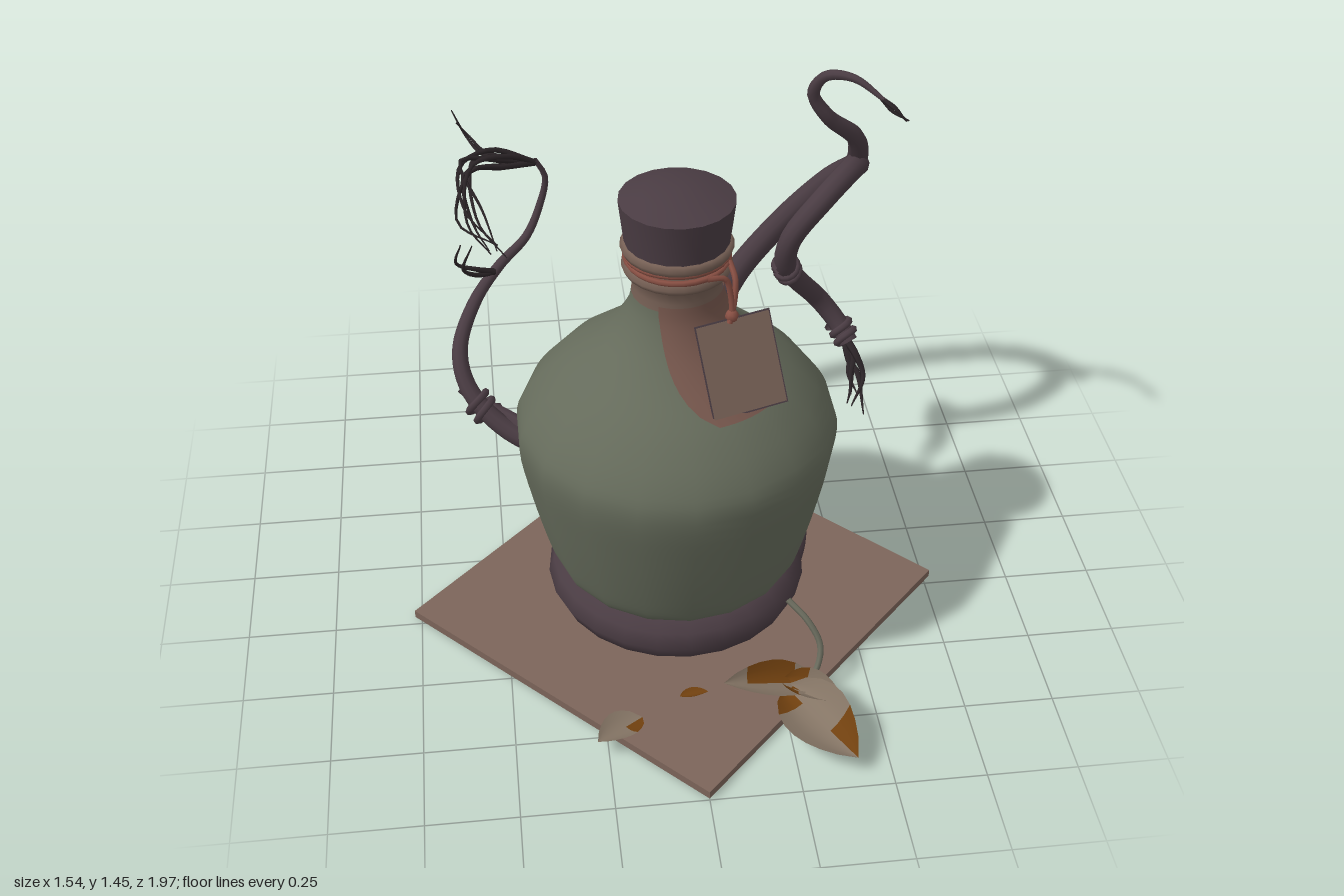
import * as THREE from 'three';
import { toCreasedNormals } from 'three/addons/utils/BufferGeometryUtils.js';

const mat = (name, color, side = THREE.FrontSide) => {
  const m = new THREE.MeshStandardMaterial({ color, side });
  m.name = name;
  return m;
};
const V = (p) => new THREE.Vector3(...p);
const path = (pts) => new THREE.CatmullRomCurve3(pts.map(V));

export function createModel() {
  const root = new THREE.Group();
  const M = {
    glass: mat('green glass', 0x656b5b),
    neck: mat('brown neck', 0x755f54),
    patch: mat('red brown stain', 0x75564c, THREE.DoubleSide),
    vine: mat('dark vine', 0x4a3c43, THREE.DoubleSide),
    hair: mat('root hair', 0x2c2528, THREE.DoubleSide),
    plate: mat('brown board', 0x7c655a),
    string: mat('red string', 0x884f43),
    leaf: mat('dry leaf', 0x857565, THREE.DoubleSide),
    rust: mat('rust leaf', 0x70400f, THREE.DoubleSide),
    stem: mat('leaf stem', 0x6b6c5e),
  };
  const add = (name, geo, material, parent = root) => {
    const mesh = new THREE.Mesh(geo, material);
    mesh.name = name;
    parent.add(mesh);
    return mesh;
  };

  // Tube whose radius follows r(t) along the curve
  const taperTube = (curve, r, seg = 40, sides = 8) => {
    const g = new THREE.TubeGeometry(curve, seg, 1, sides);
    const pos = g.attributes.position, v = new THREE.Vector3();
    for (let i = 0; i <= seg; i++) {
      const c = curve.getPointAt(i / seg), k = r(i / seg);
      for (let j = 0; j <= sides; j++) {
        const n = i * (sides + 1) + j;
        v.fromBufferAttribute(pos, n).sub(c).multiplyScalar(k).add(c);
        pos.setXYZ(n, v.x, v.y, v.z);
      }
    }
    return g;
  };
  // Strand coiling round a curve between t0 and t1
  const coil = (curve, t0, t1, turns, dist) => {
    const pts = [], n = Math.max(12, Math.round(turns * 10)), up = new THREE.Vector3(0.3, 0.5, 0.8);
    for (let i = 0; i <= n; i++) {
      const t = t0 + (t1 - t0) * i / n, a = i / n * turns * Math.PI * 2;
      const T = curve.getTangentAt(t);
      const N = new THREE.Vector3().crossVectors(T, up).normalize();
      const B = new THREE.Vector3().crossVectors(T, N);
      pts.push(curve.getPointAt(t).addScaledVector(N, Math.cos(a) * dist).addScaledVector(B, Math.sin(a) * dist));
    }
    return new THREE.CatmullRomCurve3(pts);
  };

  // Ground board: a square on its corner, one side slightly bent
  const shape = new THREE.Shape([[0, -0.995], [0.77, -0.22], [0.2, 0.35], [-0.03, 0.5], [-0.77, -0.22]]
    .map((p) => new THREE.Vector2(...p)));
  const board = new THREE.ExtrudeGeometry(shape, { depth: 0.024, bevelEnabled: false });
  board.rotateX(-Math.PI / 2);
  add('groundBoard', board, M.plate);

  // Bottle, all turned round one axis
  const bottle = new THREE.Group();
  bottle.name = 'bottle';
  bottle.position.z = 0.23;
  root.add(bottle);
  const vec2 = (a) => a.map((p) => new THREE.Vector2(...p));
  const turn = (name, pts, m, seg = 18) => add(name, new THREE.LatheGeometry(vec2(pts), seg), m, bottle);
  const profile = new THREE.SplineCurve(vec2([[0.31, 0.215], [0.345, 0.245], [0.372, 0.32], [0.415, 0.5], [0.443, 0.67],
    [0.415, 0.76], [0.335, 0.855], [0.23, 0.94], [0.165, 1.01], [0.128, 1.08], [0.117, 1.14]])).getPoints(40);
  add('glassBody', new THREE.LatheGeometry(profile, 18), M.glass, bottle);
  turn('neck', [[0.121, 1.115], [0.118, 1.14], [0.118, 1.18], [0.14, 1.185], [0.146, 1.198], [0.137, 1.212], [0.126, 1.218],
    [0.126, 1.235], [0.143, 1.242], [0.149, 1.256], [0.142, 1.27], [0.11, 1.278]], M.neck, 24);
  const cork = new THREE.LatheGeometry(vec2([[0, 1.265], [0.138, 1.27], [0.152, 1.39], [0.09, 1.41], [0, 1.42]]), 20);
  add('cork', toCreasedNormals(cork, 0.6), M.vine, bottle);

  // Stain running down the shoulder, narrowing to its lower end
  const stain = new THREE.LatheGeometry(profile.filter((p) => p.y > 0.87 && p.y < 1.135)
    .map((p) => new THREE.Vector2(p.x + 0.005, p.y + 0.003)), 16, -1, 2);
  const sp = stain.attributes.position;
  for (let i = 0; i < sp.count; i++) {
    const x = sp.getX(i), y = sp.getY(i), z = sp.getZ(i), r = Math.hypot(x, z);
    const w = 0.2 + 0.95 * Math.sqrt(Math.min(1, Math.max(0, (y - 0.87) / 0.24)));
    const a = 0.64 + Math.atan2(x, z) * w;
    sp.setXYZ(i, r * Math.sin(a), y, r * Math.cos(a));
  }
  stain.computeVertexNormals();
  add('shoulderStain', stain, M.patch, bottle);

  // Thick vine base under the bottle
  turn('vineBase', [[0, 0.035], [0.2, 0.042], [0.3, 0.065], [0.35, 0.11], [0.37, 0.155], [0.355, 0.2], [0.32, 0.228], [0.28, 0.232]], M.vine, 24);

  // String round the neck, knot and hanging cords
  for (const [y, tilt] of [[1.222, 0.04], [1.232, -0.05]]) {
    const ring = add('neckString', new THREE.TorusGeometry(0.135, 0.008, 6, 28), M.string, bottle);
    ring.position.y = y;
    ring.rotation.x = Math.PI / 2 + tilt;
  }
  const cord = (pts) => add('tagCord', new THREE.TubeGeometry(path(pts), 16, 0.008, 6), M.string);
  cord([[0.06, 1.222, 0.36], [0.11, 1.21, 0.345], [0.125, 1.16, 0.345], [0.13, 1.085, 0.355]]);
  cord([[0.13, 1.222, 0.28], [0.14, 1.19, 0.32], [0.135, 1.13, 0.34], [0.12, 1.085, 0.365]]);
  add('cordKnot', new THREE.SphereGeometry(0.018, 8, 6), M.string).position.set(0.128, 1.1, 0.352);

  // Tag: thin skewed sheet leaning on the shoulder, with a dark rim
  const tagAt = (u, v, lift) => V([0.13 + 0.205 * u - 0.035 * v, 0.988 + 0.205 * v + lift * 0.5, 0.42 - 0.066 * u - 0.137 * v + lift * 0.8]);
  const sheet = (name, s, lift, m) => {
    const g = new THREE.BoxGeometry(1, 1, 1), p = g.attributes.position;
    for (let i = 0; i < p.count; i++) {
      const q = tagAt(p.getX(i) * s + 0.08, p.getY(i) * s, p.getZ(i) * 0.008 + lift);
      p.setXYZ(i, q.x, q.y, q.z);
    }
    g.computeVertexNormals();
    add(name, g, m);
  };
  sheet('tagRim', 1, 0.003, M.vine);
  sheet('tag', 0.965, 0.007, M.neck);

  // Tall vine: sweeps back, rises, loops over and hangs down
  const tall = path([[0.28, 0.15, 0.34], [0.36, 0.14, 0.12], [0.37, 0.13, -0.08], [0.32, 0.12, -0.28], [0.24, 0.16, -0.5], [0.2, 0.3, -0.63],
    [0.28, 0.5, -0.68], [0.42, 0.7, -0.68], [0.57, 0.9, -0.62], [0.63, 1, -0.53], [0.6, 1.07, -0.41], [0.49, 1.03, -0.3],
    [0.4, 0.92, -0.28], [0.39, 0.81, -0.31], [0.44, 0.71, -0.37], [0.52, 0.6, -0.42], [0.58, 0.52, -0.4], [0.61, 0.47, -0.36]]);
  add('tallVine', taperTube(tall, (t) => t < 0.3 ? 0.052 - t * 0.03 : 0.045 - (t - 0.3) * 0.022, 90, 10), M.vine);
  for (const t of [0.85, 0.975]) {
    add('vineKnot', taperTube(coil(tall, t, t + 0.022, 2.2, 0.033), () => 0.012, 30, 6), M.vine);
  }
  add('tallShoot', taperTube(path([[0.63, 1.0, -0.53], [0.62, 1.09, -0.45], [0.59, 1.19, -0.38], [0.5, 1.28, -0.34], [0.453, 1.36, -0.335],
    [0.48, 1.425, -0.31], [0.55, 1.44, -0.26], [0.63, 1.395, -0.2]]), (t) => 0.03 * Math.pow(1 - t, 0.8) + 0.005, 40), M.vine);

  // Low vine: two strands that twist outward, then curl up behind
  const low = path([[0.15, 0.12, -0.12], [-0.05, 0.13, -0.22], [-0.28, 0.15, -0.3], [-0.46, 0.21, -0.37], [-0.57, 0.31, -0.45], [-0.595, 0.41, -0.53],
    [-0.54, 0.51, -0.65], [-0.45, 0.57, -0.77], [-0.36, 0.62, -0.85], [-0.31, 0.72, -0.88], [-0.29, 0.82, -0.88], [-0.32, 0.89, -0.87]]);
  add('lowVine', taperTube(low, (t) => 0.047 - 0.039 * t, 70, 10), M.vine);
  add('lowVineStrand', taperTube(coil(low, 0.02, 0.5, 1.3, 0.035), (t) => 0.034 - 0.014 * t, 50), M.vine);
  add('vineKnot', taperTube(coil(low, 0.43, 0.47, 2, 0.04), () => 0.012, 30, 6), M.vine);

  // Fine roots, each a jittered copy of a guide path
  let seed = 7;
  const rnd = () => ((seed = (seed * 16807) % 2147483647) / 2147483647) - 0.5;
  const roots = (name, n, guide, spread, r) => {
    for (let k = 0; k < n; k++) {
      const pts = guide.map((p, i) => p.map((c) => c + (i ? rnd() * spread * Math.min(1, 0.4 + i * 0.25) : 0)));
      add(name, taperTube(path(pts), (t) => r * (1 - t) + 0.002, 18, 5), M.hair);
    }
  };
  roots('lowRoot', 6, [[-0.32, 0.88, -0.87], [-0.42, 0.91, -0.85], [-0.53, 0.91, -0.78], [-0.53, 0.82, -0.68], [-0.46, 0.76, -0.57]], 0.1, 0.009);
  roots('lowRootTip', 2, [[-0.4, 0.905, -0.86], [-0.49, 0.93, -0.88], [-0.51, 0.94, -0.94], [-0.55, 1, -0.96]], 0.05, 0.007);
  roots('lowTwig', 2, [[-0.47, 0.57, -0.73], [-0.53, 0.59, -0.7], [-0.57, 0.64, -0.68], [-0.55, 0.71, -0.66]], 0.04, 0.009);
  roots('tallRoot', 5, [[0.6, 0.48, -0.37], [0.61, 0.44, -0.33], [0.62, 0.38, -0.27], [0.61, 0.33, -0.22]], 0.06, 0.013);
  roots('shootTip', 3, [[0.62, 1.4, -0.21], [0.65, 1.375, -0.19], [0.68, 1.34, -0.175]], 0.04, 0.005);

  // Dry leaf: cupped blade from base to tip, with rust areas as a second group
  const leaf = (base, tip, width, cup, roll, rusty) => {
    const A = V(base), D = V(tip).sub(A), up = new THREE.Vector3(0, 1, 0);
    const S = new THREE.Vector3().crossVectors(D, up).normalize();
    const N = new THREE.Vector3().crossVectors(S, D).normalize();
    S.applyAxisAngle(D.clone().normalize(), roll);
    N.applyAxisAngle(D.clone().normalize(), roll);
    const nu = 6, nv = 8, pos = [], fine = [], rust = [];
    for (let j = 0; j <= nv; j++) for (let i = 0; i <= nu; i++) {
      const t = j / nv, u = i / nu * 2 - 1, w = width * Math.pow(Math.sin(Math.PI * Math.pow(t, 0.85)), 0.8) || 0;
      const p = A.clone().addScaledVector(D, t).addScaledVector(S, u * w)
        .addScaledVector(N, cup * (u * u * w / width + 0.5 * t * t));
      pos.push(p.x, Math.max(0.027, p.y), p.z);
      if (j < nv && i < nu) {
        const a = j * (nu + 1) + i, b = a + nu + 1;
        (rusty(i, j) ? rust : fine).push(a, a + 1, b, a + 1, b + 1, b);
      }
    }
    const g = new THREE.BufferGeometry();
    g.setAttribute('position', new THREE.Float32BufferAttribute(pos, 3));
    g.setIndex([...fine, ...rust]);
    g.addGroup(0, fine.length, 0);
    g.addGroup(fine.length, rust.length, 1);
    g.computeVertexNormals();
    add('leaf', g, [M.leaf, M.rust]);
  };
  leaf([0.25, 0.07, 0.68], [0.41, 0.04, 0.95], 0.09, 0.05, 0.35, (i, j) => (j > 4 && i < 3) || (j < 2 && i > 2));
  leaf([0.35, 0.06, 0.67], [0.07, 0.12, 0.71], 0.055, 0.035, -0.35, (i, j) => j > 1 && j < 6 && i > 2);
  leaf([0.24, 0.08, 0.67], [0.4, 0.06, 0.76], 0.045, 0.05, 0.3, (i, j) => j < 3);
  leaf([-0.15, 0.035, 0.72], [-0.28, 0.04, 0.81], 0.05, 0.02, 0, (i, j) => j < 3 && i < 3);
  leaf([-0.04, 0.04, 0.66], [0.04, 0.045, 0.66], 0.018, 0.01, 0, () => true);
  add('leafStem', taperTube(path([[0.28, 0.24, 0.52], [0.33, 0.2, 0.57], [0.36, 0.14, 0.61], [0.34, 0.08, 0.65], [0.28, 0.06, 0.69]]), () => 0.009, 20, 6), M.stem);

  return root;
}
